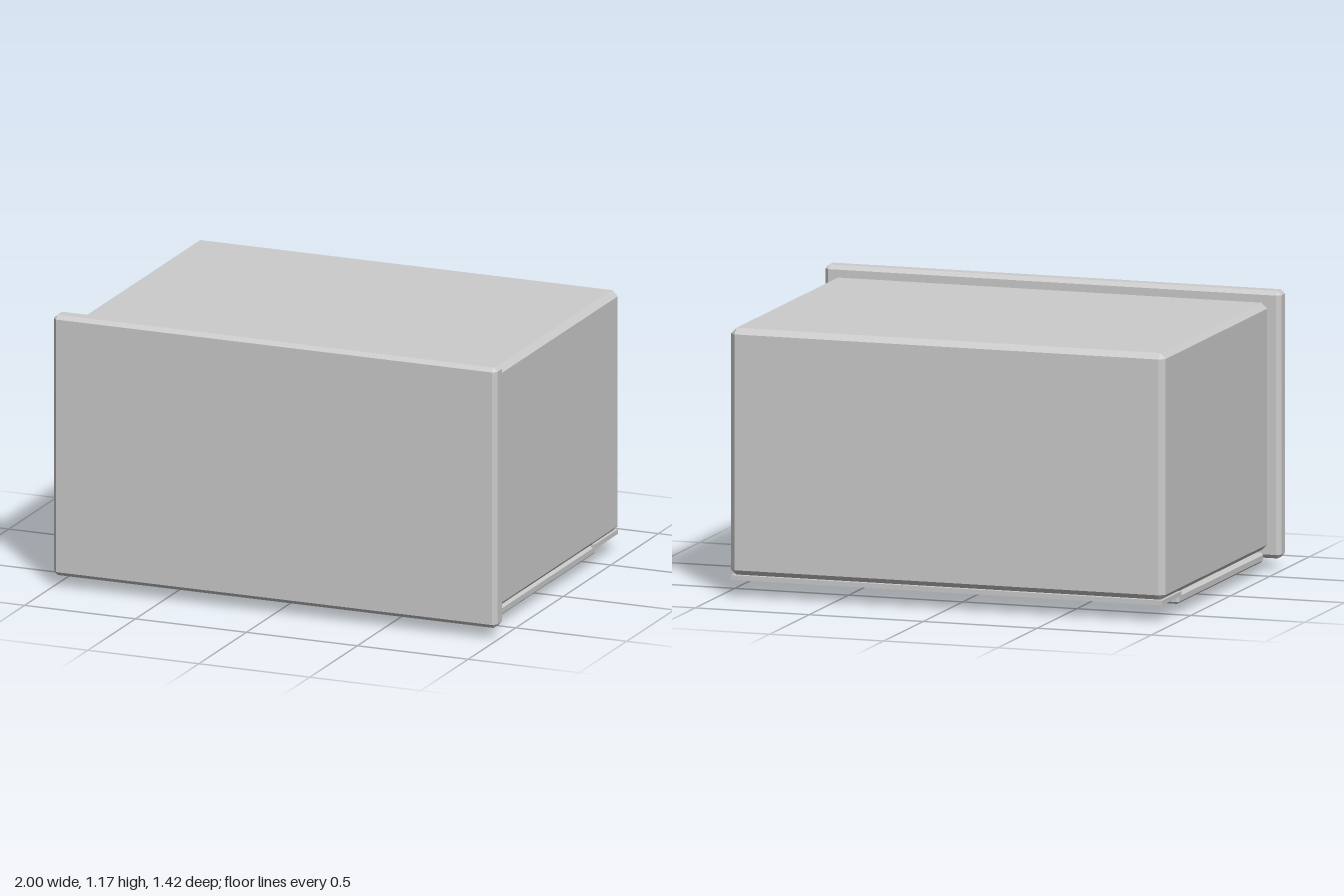
import * as THREE from 'three';
import { ConvexGeometry } from 'three/addons/geometries/ConvexGeometry.js';

// Box with flat chamfers on every edge, given its min and max corners
function chamferedBox(min, max, c) {
  const half = min.map((v, i) => (max[i] - v) / 2);
  const mid = min.map((v, i) => (max[i] + v) / 2);
  const points = [];
  for (const sx of [-1, 1]) for (const sy of [-1, 1]) for (const sz of [-1, 1]) {
    for (let axis = 0; axis < 3; axis++) {
      const p = [sx, sy, sz].map((s, i) => s * (half[i] - (i === axis ? 0 : c)));
      points.push(new THREE.Vector3(...p));
    }
  }
  return new ConvexGeometry(points).translate(...mid);
}

export function createModel() {
  const group = new THREE.Group();
  const grey = new THREE.MeshStandardMaterial({ color: 0xcccccc });
  grey.name = 'grey';

  const add = (name, geometry) => {
    const mesh = new THREE.Mesh(geometry, grey);
    mesh.name = name;
    group.add(mesh);
  };

  // Cabinet lying on its doors, with the worktop facing forward
  add('cabinetBody', chamferedBox([-0.953, 0.09, -0.706], [0.953, 1.13, 0.627], 0.024));
  add('worktop', chamferedBox([-1, 0.05, 0.63], [1, 1.175, 0.71], 0.017));

  // Kick plate along the foot of the cabinet
  const plate = new THREE.BoxGeometry(1.89, 0.02, 0.247);
  plate.translate(0, 0.083, -0.5825);
  add('kickPlate', plate);

  // Two doors on the underside, each with a bar handle
  for (const [side, x] of [['right', -0.485], ['left', 0.475]]) {
    add(side + 'Door', chamferedBox([x - 0.46, 0.043, -0.496], [x + 0.46, 0.084, 0.584], 0.009));
    add(side + 'Handle', chamferedBox([x + 0.265, 0, 0], [x + 0.312, 0.043, 0.325], 0.008));
  }
  return group;
}
